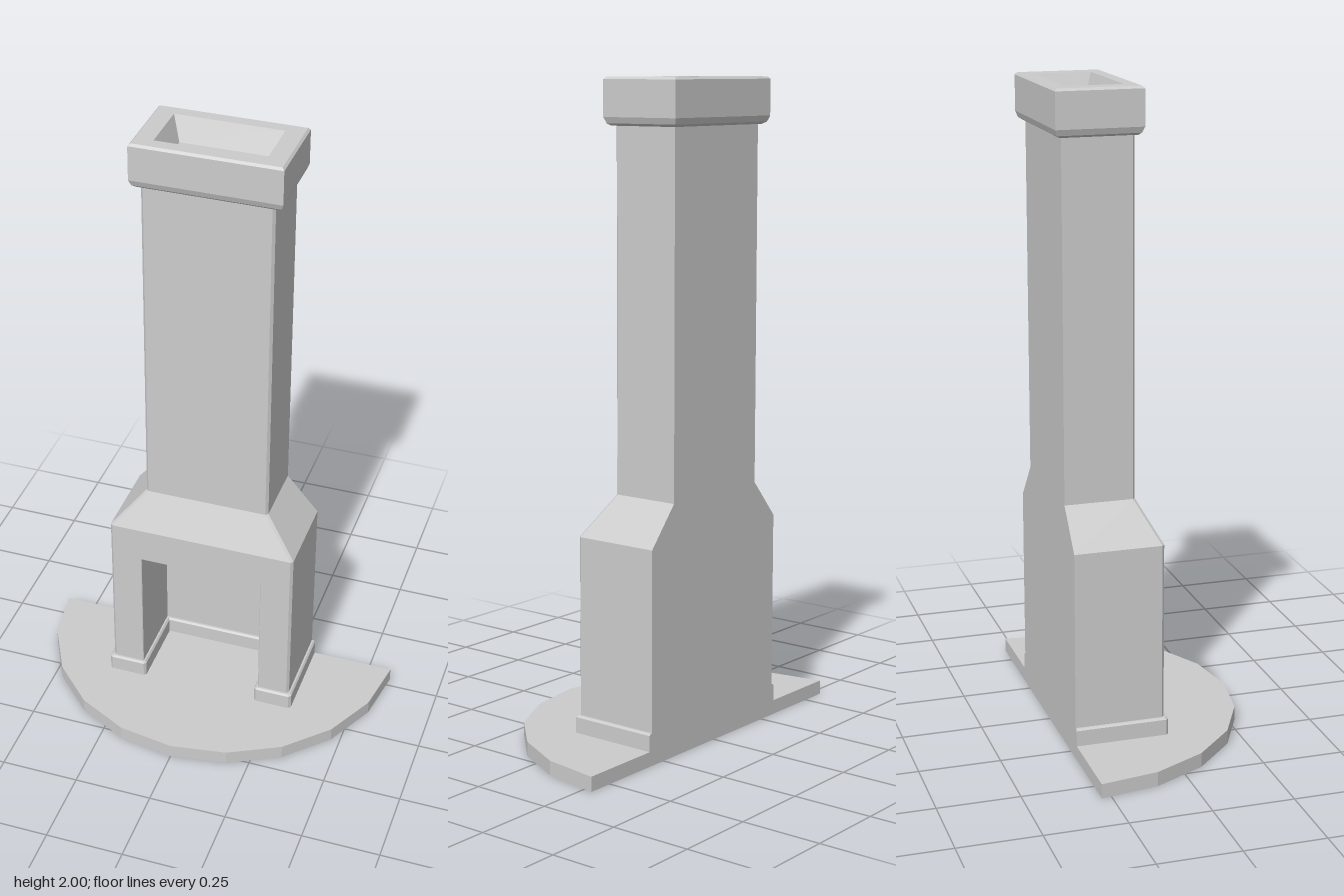
import * as THREE from 'three';

const material = new THREE.MeshStandardMaterial({ color: 0xcccccc, flatShading: true });
const BACK = -0.28;

// Skins a stack of rings { y, pts: [[x, z], ...] }, anticlockwise seen from above.
// Caps are only for convex rings.
function loft(name, rings, capStart = false, capEnd = false) {
  const pos = [];
  const put = (ring, i) => {
    const p = ring.pts[i % ring.pts.length];
    pos.push(p[0], ring.y, p[1]);
  };
  for (let r = 0; r < rings.length - 1; r++) {
    const lo = rings[r], hi = rings[r + 1];
    for (let i = 0; i < lo.pts.length; i++) {
      put(lo, i); put(lo, i + 1); put(hi, i + 1);
      put(lo, i); put(hi, i + 1); put(hi, i);
    }
  }
  const first = rings[0], last = rings[rings.length - 1];
  for (let i = 1; i < first.pts.length - 1; i++) {
    if (capStart) { put(first, 0); put(first, i + 1); put(first, i); }
    if (capEnd) { put(last, 0); put(last, i); put(last, i + 1); }
  }
  const geometry = new THREE.BufferGeometry();
  geometry.setAttribute('position', new THREE.Float32BufferAttribute(pos, 3));
  geometry.computeVertexNormals();
  const mesh = new THREE.Mesh(geometry, material);
  mesh.name = name;
  return mesh;
}

// Rectangle with bevelled front corners
const bodyRing = (y, w, front, c = 0.008) => ({
  y,
  pts: [[-w, front - c], [-w + c, front], [w - c, front], [w, front - c], [w, BACK], [-w, BACK]],
});

// Plain rectangle
const rectRing = (y, w, back, front) => ({
  y, pts: [[-w, front], [w, front], [w, back], [-w, back]],
});

// U-shaped plan around the firebox, grown by "off"
function hearthRing(y, off) {
  const w = 0.305 + off, inner = 0.2 - off, c = 0.008, e = 0.002 + off * 0.5;
  const wall = -0.24 + off;
  return {
    y,
    pts: [
      [-w, off - c], [-w + c, off], [-inner - e, off], [-inner, off - e],
      [-inner, wall], [inner, wall],
      [inner, off - e], [inner + e, off], [w - c, off], [w, off - c],
      [w, BACK], [-w, BACK],
    ],
  };
}

export function createModel() {
  const group = new THREE.Group();
  group.name = 'fireplace';

  // Half-round hearth slab
  const arc = [];
  for (let i = 0; i <= 10; i++) {
    const a = (i / 10) * Math.PI;
    arc.push([-0.582 * Math.cos(a), BACK + 0.582 * Math.sin(a)]);
  }
  group.add(loft('hearthSlab', [{ y: 0, pts: arc }, { y: 0.045, pts: arc }], true, true));

  // Firebox walls and the skirting that follows them inside and out
  group.add(loft('fireboxWalls', [hearthRing(0.045, 0), hearthRing(0.535, 0)]));
  group.add(loft('skirting', [
    hearthRing(0.045, 0.011), hearthRing(0.094, 0.011),
    hearthRing(0.1, 0.006), hearthRing(0.1, 0),
  ]));

  // Breast, sloping shoulders and flue stack
  group.add(loft('chimneyStack', [
    bodyRing(0.535, 0.305, 0), bodyRing(0.65, 0.305, 0),
    bodyRing(0.77, 0.202, -0.06), bodyRing(1.87, 0.202, -0.06),
  ], true, true));

  // Crown with rounded underside and a tapered recess in its top
  group.add(loft('chimneyCrown', [
    rectRing(1.86, 0.212, -0.287, -0.055),
    rectRing(1.867, 0.224, -0.298, -0.047),
    rectRing(1.885, 0.231, -0.304, -0.04),
    rectRing(1.993, 0.231, -0.304, -0.04),
    rectRing(2, 0.224, -0.298, -0.047),
    rectRing(2, 0.168, -0.26, -0.085),
    rectRing(1.93, 0.14, -0.225, -0.11),
  ], true, true));

  return group;
}
